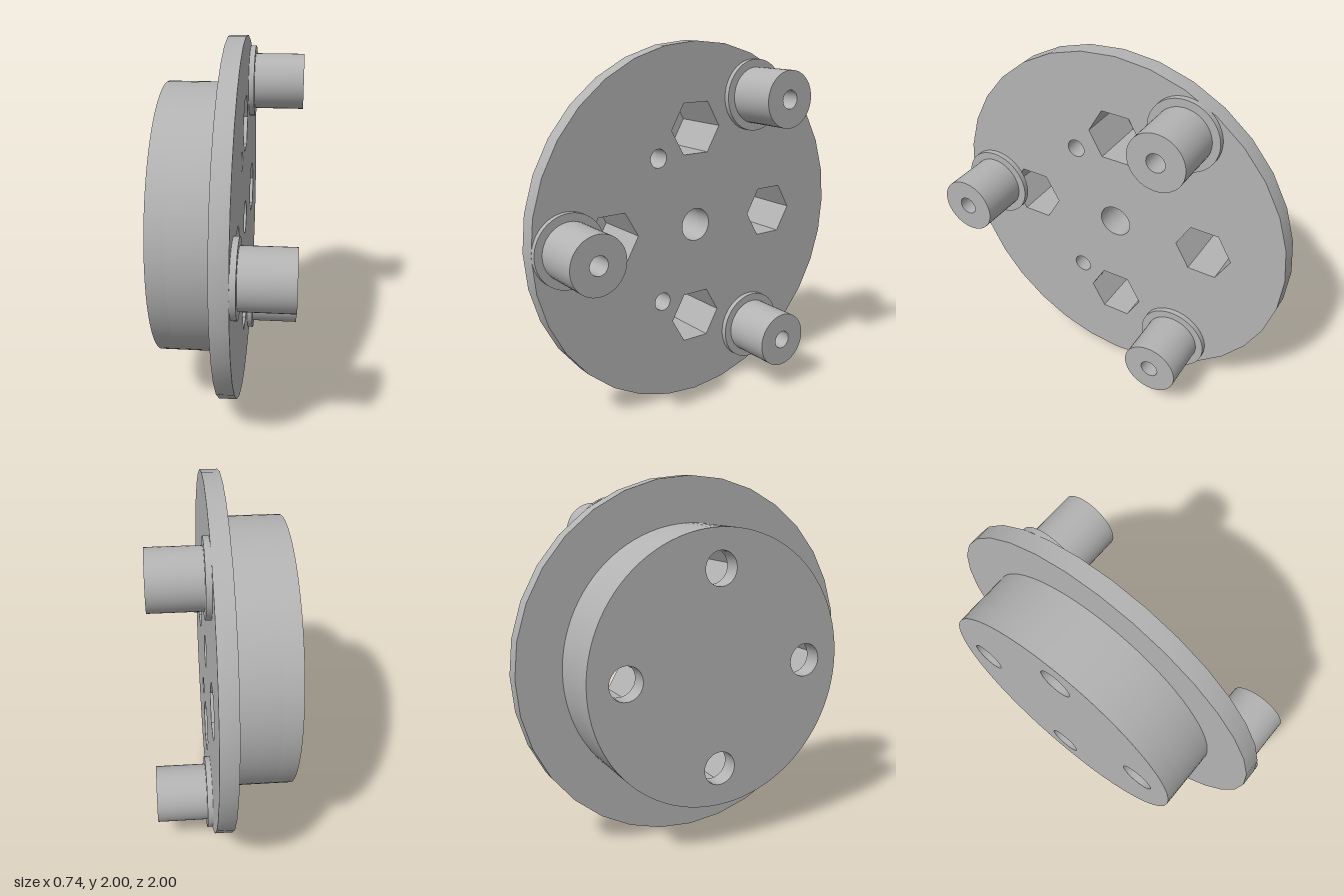
import * as THREE from 'three';
import { toCreasedNormals } from 'three/addons/utils/BufferGeometryUtils.js';

const grey = new THREE.MeshStandardMaterial({ color: 0xb3b3b3 });
grey.name = 'plainGrey';

// Regular polygon in the (z, y) plane; the shape's own x axis runs along -z.
function ring(z, y, radius, sides) {
  return Array.from({ length: sides }, (_, i) => {
    const a = (i / sides) * Math.PI * 2;
    return new THREE.Vector2(-z + radius * Math.cos(a), y + radius * Math.sin(a));
  });
}

// Slab with holes, running along x from x0 to x1.
function slab(name, outline, holes, x0, x1) {
  const shape = new THREE.Shape(outline);
  holes.forEach((points) => shape.holes.push(new THREE.Path(points)));
  const extruded = new THREE.ExtrudeGeometry(shape, { depth: x1 - x0, bevelEnabled: false });
  extruded.translate(0, 0, x0).rotateY(Math.PI / 2);
  const mesh = new THREE.Mesh(toCreasedNormals(extruded, 0.4), grey);
  mesh.name = name;
  return mesh;
}

export function createModel() {
  const group = new THREE.Group();
  group.name = 'pinnedDisc';

  const back = -0.37, pocketFloor = -0.27, plateBack = -0.035, plateFront = 0.06;

  // Four bolt positions: hexagonal nut pockets that narrow to round bolt holes
  const bolts = [[0.54, 1], [-0.54, 1], [0, 1.54], [0, 0.46]];
  const nutPockets = bolts.map(([z, y]) => ring(z, y, 0.16, 6));
  const boltHoles = bolts.map(([z, y]) => ring(z, y, 0.093, 32));

  // Blind centre bore and two small blind holes
  const blindHoles = [ring(0, 1, 0.092, 32), ring(0.245, 1.4, 0.051, 24), ring(0.227, 0.593, 0.051, 24)];
  const frontHoles = [...nutPockets, ...blindHoles];

  // Disc and drum
  group.add(slab('plate', ring(0, 1, 1, 32), frontHoles, plateBack, plateFront));
  group.add(slab('drum', ring(0, 1, 0.75, 96), frontHoles, pocketFloor, plateBack));
  group.add(slab('drumBack', ring(0, 1, 0.75, 96), boltHoles, back, pocketFloor));

  // Three bored pegs, each on a thin shoulder
  for (let i = 0; i < 3; i++) {
    const a = (i / 3) * Math.PI * 2;
    const z = 0.8 * Math.cos(a), y = 1 + 0.8 * Math.sin(a);
    const bore = ring(z, y, 0.051, 24);
    const peg = new THREE.Group();
    peg.name = 'peg' + (i + 1);
    peg.add(slab('shoulder', ring(z, y, 0.199, 48), [bore], plateFront, 0.09));
    peg.add(slab('pin', ring(z, y, 0.156, 48), [bore], 0.09, 0.365));
    group.add(peg);
  }

  return group;
}
